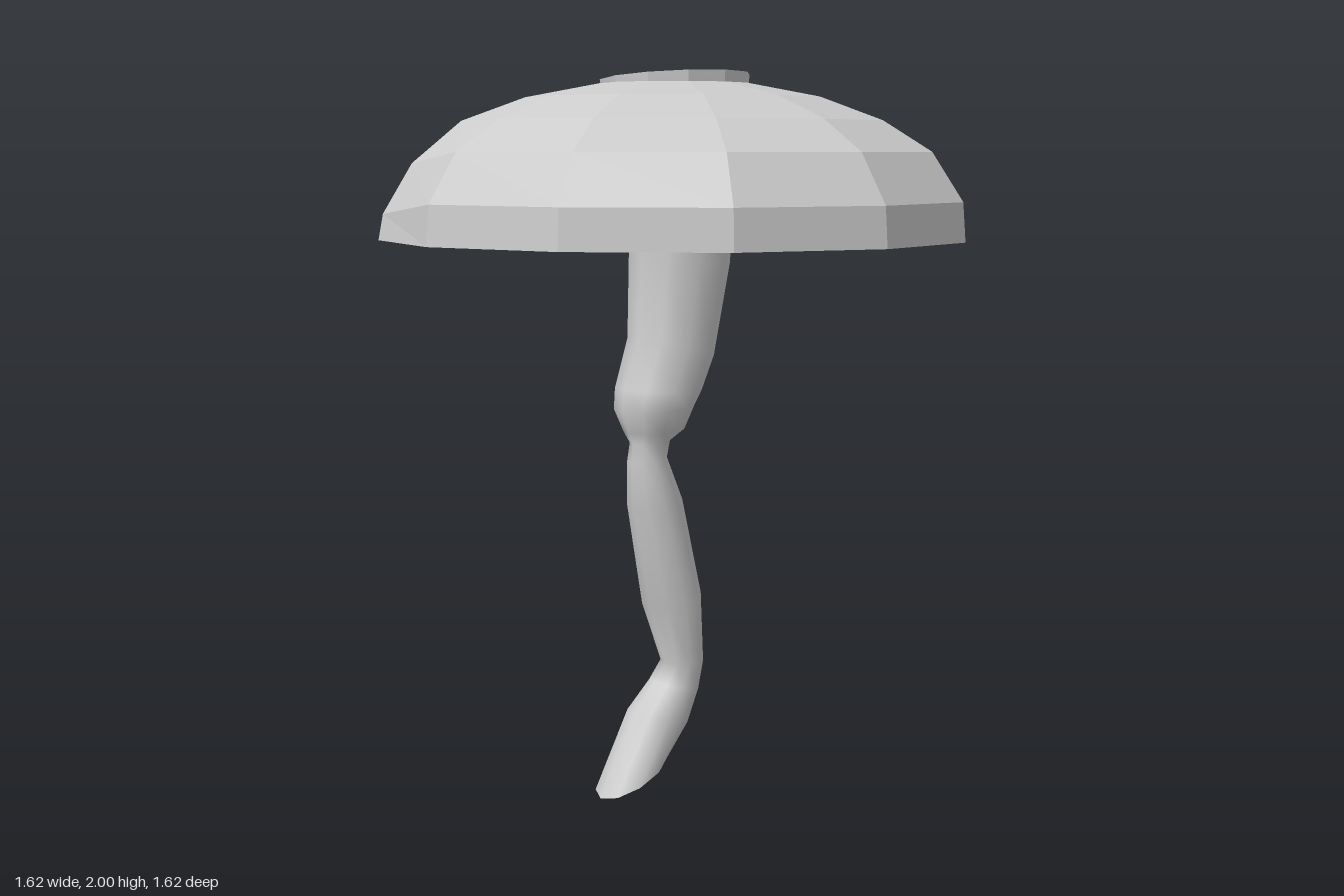
import * as THREE from 'three';

// Skin a list of equal-sized point rings; optionally fan the first / last ring to a centre point.
function loft(rings, startCentre, endCentre) {
  const n = rings[0].length;
  const pos = rings.flat().flatMap((p) => p.toArray());
  const index = [];
  for (let r = 0; r < rings.length - 1; r++) {
    for (let i = 0; i < n; i++) {
      const a = r * n + i, b = r * n + (i + 1) % n;
      index.push(a, a + n, b + n, a, b + n, b);
    }
  }
  // Fans get their own vertices so their edge stays sharp.
  const fan = (ring, c, flip) => {
    const base = pos.length / 3;
    pos.push(...c.toArray(), ...ring.flatMap((p) => p.toArray()));
    for (let i = 0; i < n; i++) {
      const a = base + 1 + i, b = base + 1 + (i + 1) % n;
      index.push(base, flip ? b : a, flip ? a : b);
    }
  };
  if (startCentre) fan(rings[0], startCentre, false);
  if (endCentre) fan(rings[rings.length - 1], endCentre, true);
  const geo = new THREE.BufferGeometry();
  geo.setAttribute('position', new THREE.Float32BufferAttribute(pos, 3));
  geo.setIndex(index);
  geo.computeVertexNormals();
  return geo;
}

// Horizontal twelve-sided ring; shape(i) may return [radius, height] per corner.
const SIDES = 12;
const capRing = (shape) => Array.from({ length: SIDES }, (_, i) => {
  const [r, y] = shape(i), t = (i / SIDES) * Math.PI * 2;
  return new THREE.Vector3(r * Math.cos(t), y, r * Math.sin(t));
});

export function createModel() {
  const group = new THREE.Group();
  const add = (name, geo, flat) => {
    const mesh = new THREE.Mesh(geo, new THREE.MeshStandardMaterial({
      color: 0xcccccc, flatShading: flat, side: THREE.DoubleSide,
    }));
    mesh.name = name;
    group.add(mesh);
  };

  // Cap dome: the lower band sags down to the rim at the back (corners 8 to 10).
  const band = (i) => {
    if (i >= 8 && i <= 10) return [0.79, 1.56];
    return i === 7 ? [0.795, 1.62] : [0.8, 1.655];
  };
  const shoulder = (i) => (i >= 7 && i <= 11 ? [0.715, 1.755] : [0.715, 1.785]);
  add('capDome', loft([
    capRing(() => [0.808, 1.55]),
    capRing(band),
    capRing(shoulder),
    ...[[0.582, 1.867], [0.41, 1.93], [0.2, 1.97]].map((p) => capRing(() => p)),
  ], null, new THREE.Vector3(0, 1.972, 0)), true);

  // Hollow underside with a shallow central disc around the stem
  add('capUnderside', loft([[0.1, 1.71], [0.437, 1.75], [0.808, 1.55]].map((p) => capRing(() => p)),
    new THREE.Vector3(0, 1.705, 0)), true);

  // Thin crown plate, lifted at the front
  const lift = (i) => 1.986 + 0.014 * Math.sin((i / SIDES) * Math.PI * 2);
  add('crownPlate', loft([
    capRing(() => [0.205, 1.967]),
    capRing((i) => [0.207, lift(i)]),
  ], null, new THREE.Vector3(0, 1.986, 0)), true);

  // Crooked stem: each section is [left x, left y, right x, right y, half depth, centre z]
  const sections = [
    [-0.27, 0.005, -0.05, 0.105, 0.085, 0],
    [-0.15, 0.23, 0.02, 0.18, 0.085, 0],
    [-0.075, 0.305, 0.065, 0.27, 0.07, 0],
    [-0.035, 0.355, 0.085, 0.35, 0.062, 0],
    [-0.09, 0.52, 0.062, 0.56, 0.095, 0],
    [-0.15, 0.81, 0.002, 0.83, 0.078, 0],
    [-0.156, 0.94, -0.046, 0.95, 0.055, 0],
    [-0.15, 0.99, -0.032, 0.995, 0.05, 0],
    [-0.16, 1.02, 0.015, 1.025, 0.08, -0.005],
    [-0.18, 1.08, 0.045, 1.09, 0.11, -0.01],
    [-0.174, 1.14, 0.07, 1.13, 0.118, -0.01],
    [-0.125, 1.28, 0.11, 1.22, 0.125, -0.01],
    [-0.115, 1.5, 0.163, 1.48, 0.143, -0.01],
    [-0.108, 1.71, 0.175, 1.71, 0.153, -0.01],
  ];
  const stemRings = sections.map(([lx, ly, rx, ry, w, z]) =>
    Array.from({ length: 10 }, (_, i) => {
      const t = (i / 10) * Math.PI * 2, c = Math.cos(t) / 2;
      return new THREE.Vector3((lx + rx) / 2 + (rx - lx) * c, (ly + ry) / 2 + (ry - ly) * c, z + w * Math.sin(t));
    }));
  add('stem', loft(stemRings, new THREE.Vector3(-0.16, 0.055, 0)), false);

  return group;
}
